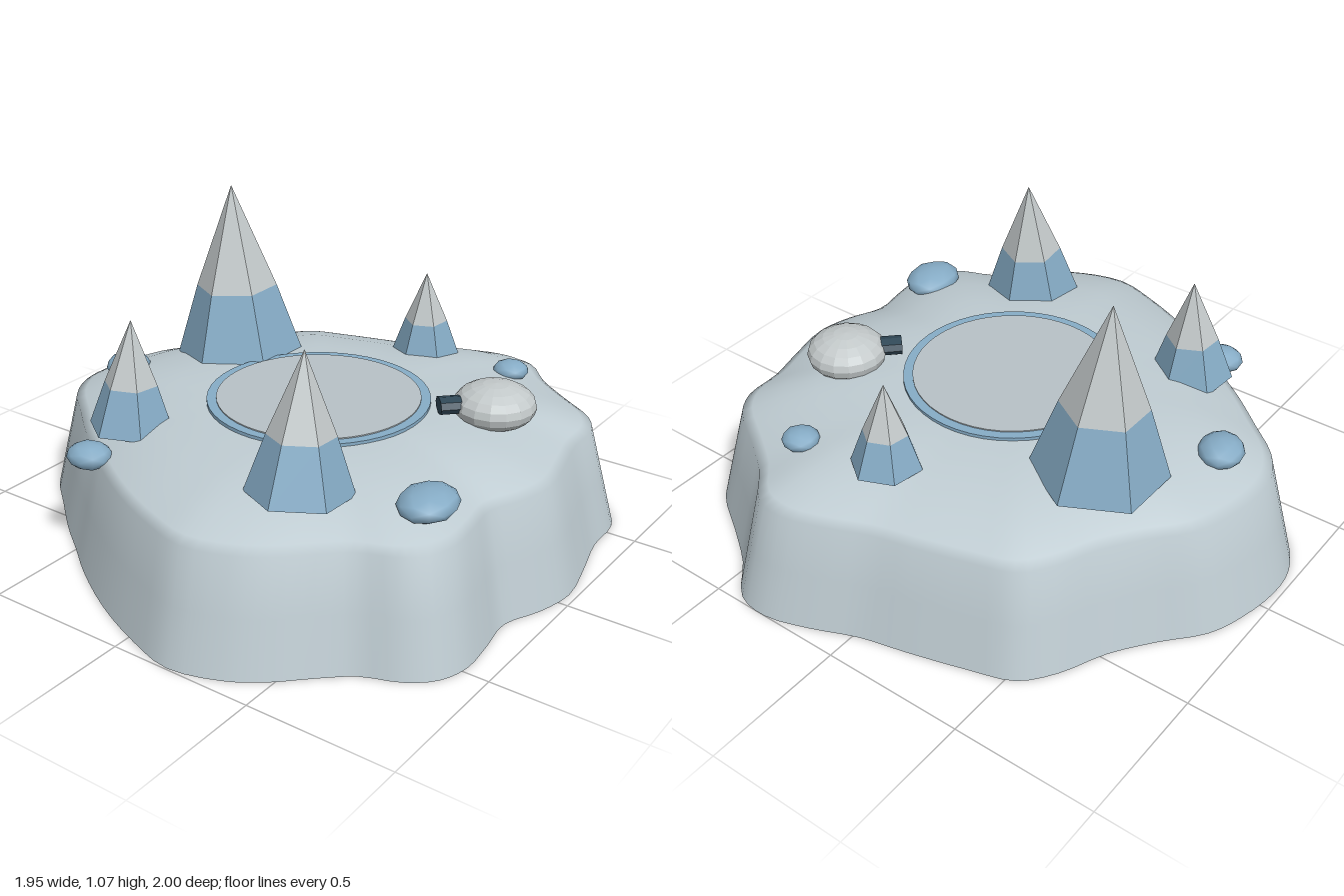
import * as THREE from 'three';

const mat = (name, color, extra = {}) => {
  const m = new THREE.MeshStandardMaterial({ color, ...extra });
  m.name = name;
  return m;
};

// Plateau outline at ground level, as x, z pairs
const OUTLINE = [
  0.29, -1, 0.41, -0.98, 0.53, -0.86, 0.67, -0.76, 0.83, -0.65, 0.89, -0.55, 0.9, -0.4,
  0.94, -0.24, 0.975, -0.06, 0.945, 0.08, 0.89, 0.21, 0.905, 0.34, 0.915, 0.48, 0.88, 0.58,
  0.8, 0.65, 0.68, 0.7, 0.585, 0.78, 0.48, 0.88, 0.37, 0.95, 0.2, 0.995, 0.03, 0.95,
  -0.18, 0.86, -0.38, 0.74, -0.5, 0.65, -0.63, 0.555, -0.765, 0.44, -0.9, 0.32, -0.965, 0.2,
  -0.977, 0.08, -0.95, -0.08, -0.9, -0.21, -0.79, -0.34, -0.69, -0.48, -0.617, -0.635,
  -0.53, -0.74, -0.39, -0.79, -0.18, -0.85, -0.02, -0.89, 0.135, -0.955,
];
// Outline scale and height of each ring, from the foot to the middle
const RINGS = [
  [1, 0], [0.952, 0.185], [0.905, 0.365], [0.87, 0.384], [0.77, 0.422],
  [0.65, 0.453], [0.5, 0.473], [0.36, 0.477], [0.25, 0.477],
];
const CX = 0.055, CZ = 0.025;

// Open-bottomed shell made of shrinking copies of the outline
function plateauGeometry() {
  const pts = [];
  for (let i = 0; i < OUTLINE.length; i += 2) pts.push(new THREE.Vector3(OUTLINE[i], 0, OUTLINE[i + 1]));
  const n = 117;
  const loop = new THREE.CatmullRomCurve3(pts, true).getPoints(n).slice(0, n);
  const pos = [], index = [];
  for (const [s, y] of RINGS) {
    for (const p of loop) pos.push(CX + (p.x - CX) * s, y, CZ + (p.z - CZ) * s);
  }
  for (let r = 0; r < RINGS.length - 1; r++) {
    for (let i = 0; i < n; i++) {
      const a = r * n + i, b = r * n + (i + 1) % n;
      index.push(a, a + n, b, b, a + n, b + n);
    }
  }
  const g = new THREE.BufferGeometry();
  g.setAttribute('position', new THREE.Float32BufferAttribute(pos, 3));
  g.setIndex(index);
  g.computeVertexNormals();
  return g;
}

export function createModel() {
  const root = new THREE.Group();
  root.name = 'snowyPlateau';
  const snow = mat('snow', 0xbfccd2, { side: THREE.DoubleSide });
  const frost = mat('frostGrey', 0xc3c9ca, { flatShading: true });
  const paleIce = mat('paleIce', 0xb7c1c6);
  const blue = mat('iceBlue', 0x86acc6, { flatShading: true });
  const rockBlue = mat('rockBlue', 0x86acc6);
  const dark = mat('darkSlate', 0x2f4756, { flatShading: true });

  const add = (name, geometry, material, x, y, z, parent = root) => {
    const m = new THREE.Mesh(geometry, material);
    m.name = name;
    m.position.set(x, y, z);
    parent.add(m);
    return m;
  };

  add('plateau', plateauGeometry(), snow, 0, 0, 0);

  // Frozen pond with a blue rim
  add('pondRim', new THREE.CylinderGeometry(0.375, 0.375, 0.028, 48), blue, CX, 0.473, CZ);
  add('pondIce', new THREE.CylinderGeometry(0.343, 0.343, 0.004, 48), paleIce, CX, 0.489, CZ);

  // Ice spires: base centre, base radius, tip, twist
  const spires = [
    [[-0.455, 0.45, -0.2], 0.228, [-0.48, 1.07, -0.195], 0],
    [[-0.39, 0.42, 0.465], 0.143, [-0.385, 0.79, 0.45], -0.1],
    [[0.363, 0.443, 0.555], 0.17, [0.353, 0.89, 0.515], 0.06],
    [[0.095, 0.455, -0.588], 0.12, [0.1, 0.755, -0.575], -0.12],
  ];
  const up = new THREE.Vector3(0, 1, 0);
  for (const [base, r, tip, twist] of spires) {
    const spire = new THREE.Group();
    spire.name = 'iceSpire';
    const axis = new THREE.Vector3(...tip).sub(new THREE.Vector3(...base));
    const h = axis.length(), low = h * 0.41, mid = r * 0.63;
    spire.position.set(...base);
    spire.quaternion.setFromUnitVectors(up, axis.normalize());
    add('spireBase', new THREE.CylinderGeometry(mid, r, low, 6), blue, 0, low / 2, 0, spire).rotation.y = twist;
    add('spireTip', new THREE.ConeGeometry(mid, h - low, 6, 1, true), frost, 0, (h + low) / 2, 0, spire).rotation.y = twist;
    root.add(spire);
  }

  // Boulders: position, radii, turn
  const boulders = [
    [[-0.71, 0.442, 0.125], [0.078, 0.045, 0.088], 0.4],
    [[-0.405, 0.383, 0.652], [0.078, 0.045, 0.067], 0.3],
    [[0.705, 0.443, 0.38], [0.093, 0.047, 0.113], 0.1],
    [[0.42, 0.44, -0.64], [0.064, 0.035, 0.062], 0.2],
  ];
  for (const [p, s, turn] of boulders) {
    const b = add('boulder', new THREE.IcosahedronGeometry(1, 1), rockBlue, ...p);
    b.scale.set(...s);
    b.rotation.y = turn;
  }

  // Snow hut and its dark entrance, facing the pond
  const hut = new THREE.Group();
  hut.name = 'snowHut';
  hut.position.set(0.58, 0.497, -0.235);
  hut.rotation.y = -Math.PI / 4;
  add('hutDome', new THREE.SphereGeometry(0.138, 16, 10), frost, 0, 0, 0, hut).scale.y = 0.56;
  const door = add('hutEntrance', new THREE.CylinderGeometry(0.042, 0.042, 0.1, 8), dark, 0, 0.01, 0.14, hut);
  door.rotation.x = Math.PI / 2;
  door.scale.z = 0.68;
  root.add(hut);

  return root;
}
